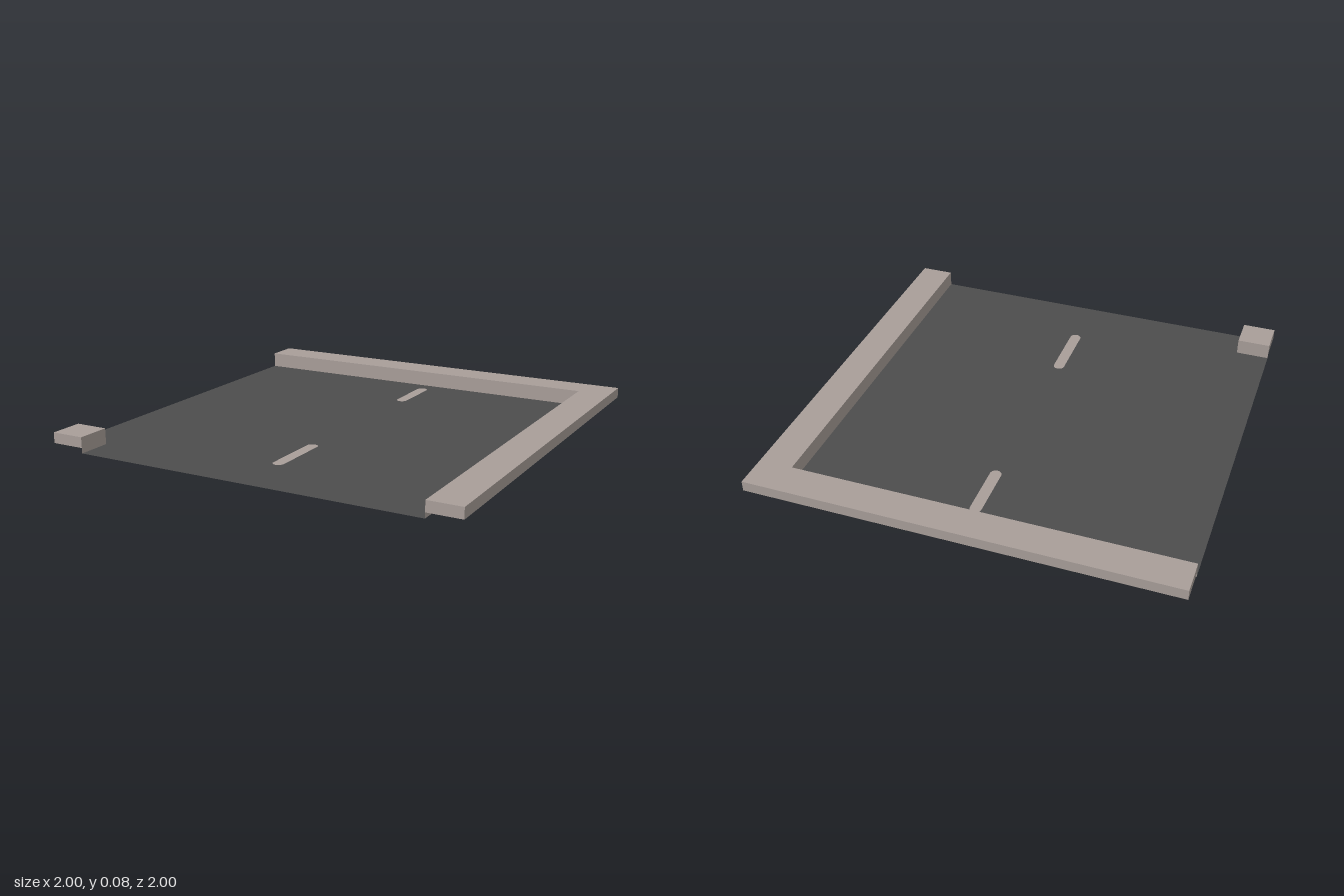
import * as THREE from 'three';
import { mergeGeometries } from 'three/addons/utils/BufferGeometryUtils.js';

const TOP = 0.075;   // height of the raised rim
const LIP = 0.025;   // lower edge of the hanging skirt
const IN = 0.84;     // inner line of the rim

// Flat horizontal face at height y from [x, z] points
function toShape(points) {
  return new THREE.Shape(points.map(([x, z]) => new THREE.Vector2(x, -z)));
}
function flat(shape, y) {
  return new THREE.ShapeGeometry(shape, 6).rotateX(-Math.PI / 2).translate(0, y, 0);
}

// Upright sheet following a path of [x, z] points
function wall(path, y0, y1) {
  const parts = [];
  for (let i = 0; i < path.length - 1; i++) {
    const [ax, az] = path[i], [bx, bz] = path[i + 1];
    const dx = bx - ax, dz = bz - az;
    parts.push(new THREE.PlaneGeometry(Math.hypot(dx, dz), y1 - y0)
      .rotateY(-Math.atan2(dz, dx))
      .translate((ax + bx) / 2, (y0 + y1) / 2, (az + bz) / 2));
  }
  return mergeGeometries(parts);
}

// Rounded slot outline along z
function slot(z0, z1, r = 0.027) {
  const s = new THREE.Path();
  s.absarc(0, -z0 - r, r, 0, Math.PI, false);
  s.absarc(0, -z1 + r, r, Math.PI, Math.PI * 2, false);
  s.closePath();
  return s;
}

export function createModel() {
  const group = new THREE.Group();
  const taupe = new THREE.MeshStandardMaterial({ color: 0xa89e99, side: THREE.DoubleSide });
  taupe.name = 'taupe';
  const charcoal = new THREE.MeshStandardMaterial({ color: 0x4d4d4d, side: THREE.DoubleSide });
  charcoal.name = 'charcoal';

  const add = (name, geometry, material, parent = group) => {
    const mesh = new THREE.Mesh(geometry, material);
    mesh.name = name;
    parent.add(mesh);
  };

  // Hollow raised edge: top face, outer skirt and inner wall
  const raised = (name, outline, skirt, inner) => {
    const part = new THREE.Group();
    part.name = name;
    add(name + 'Top', flat(toShape(outline), TOP), taupe, part);
    add(name + 'Skirt', wall(skirt, LIP, TOP), taupe, part);
    add(name + 'InnerWall', wall(inner, 0, TOP), taupe, part);
    group.add(part);
  };

  // Floor sheet, notched at the corner block and pierced by two slots
  const floor = toShape([[-IN, 1], [IN, 1], [IN, -IN], [-1, -IN], [-1, IN], [-IN, IN]]);
  [[-0.775, -0.475], [0.39, 0.725]].forEach(([z0, z1], i) => {
    const outline = slot(z0, z1);
    floor.holes.push(outline);
    add(i ? 'frontSlot' : 'backSlot', flat(new THREE.Shape(outline.getPoints(6)), 0), taupe);
  });
  add('floor', flat(floor, 0), charcoal);

  // L-shaped rim along the back and left sides
  const rim = [[IN, 1], [1, 1], [1, -1], [-1, -1], [-1, -IN], [IN, -IN]];
  raised('rim', rim, rim.slice(0, 5), [[-1, -IN], [IN, -IN], [IN, 1]]);

  // Small block in the front right corner
  raised('cornerBlock',
    [[-1, 1], [-IN, 1], [-IN, IN], [-1, IN]],
    [[-1, IN], [-1, 1], [-IN, 1]],
    [[-IN, 1], [-IN, IN], [-1, IN]]);

  return group;
}
